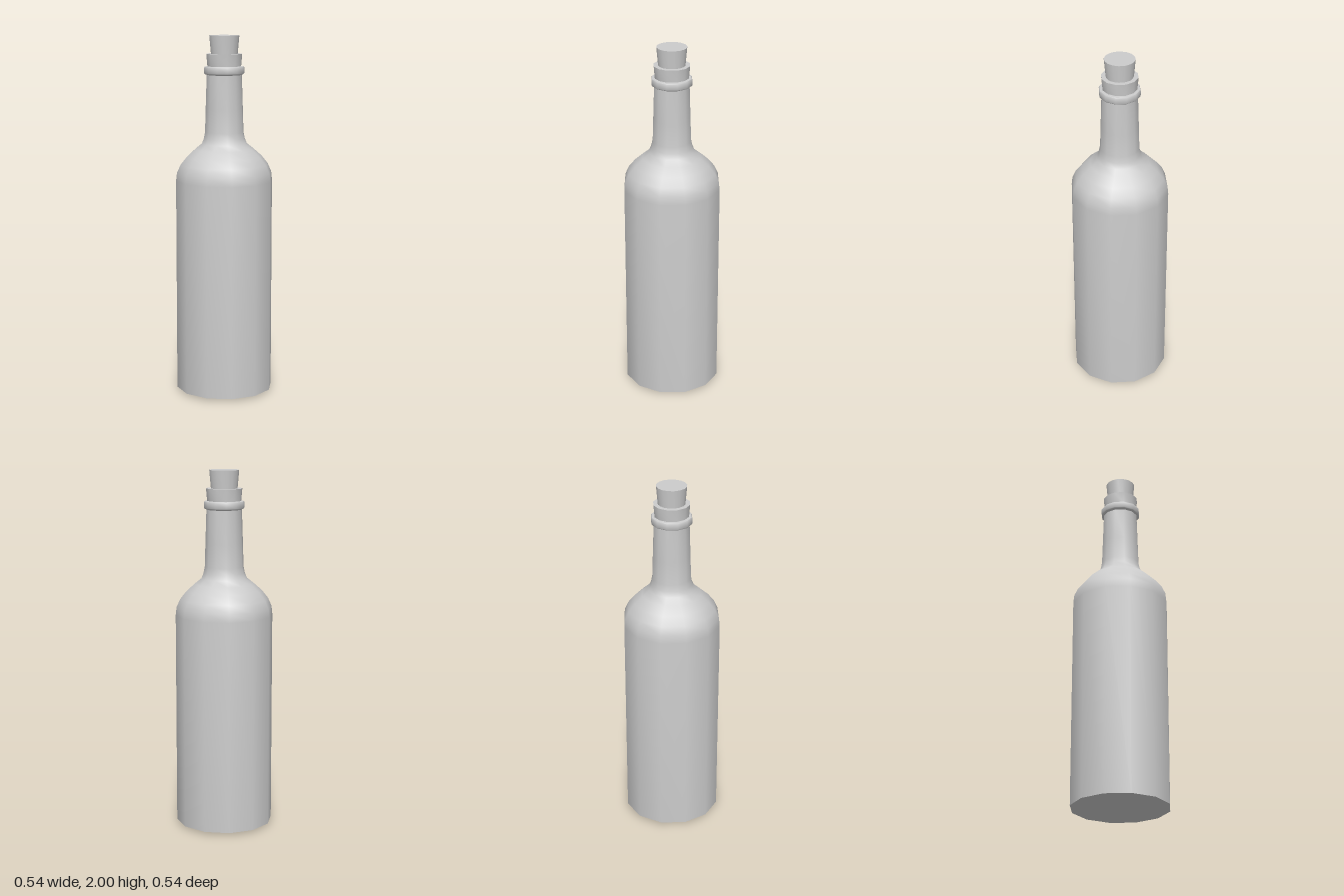
import * as THREE from 'three';
import { toCreasedNormals } from 'three/addons/utils/BufferGeometryUtils.js';

const material = new THREE.MeshStandardMaterial({ color: 0xcccccc });

// Turned part from [radius, height] pairs, listed bottom to top
function turned(name, profile, sides) {
  const points = profile.map(([r, y]) => new THREE.Vector2(r, y));
  const geometry = toCreasedNormals(new THREE.LatheGeometry(points, sides), 0.8);
  const mesh = new THREE.Mesh(geometry, material);
  mesh.name = name;
  return mesh;
}

export function createModel() {
  const group = new THREE.Group();
  group.name = 'corkedBottle';

  // Glass: slightly bulged base, straight body, round shoulder, long neck, collar and lip
  group.add(turned('bottle', [
    [0, 0], [0.13, 0.003], [0.271, 0.012],
    [0.271, 1.2], [0.266, 1.245], [0.246, 1.29], [0.21, 1.335], [0.165, 1.375],
    [0.127, 1.405], [0.115, 1.435], [0.108, 1.47],
    [0.104, 1.6], [0.098, 1.785],
    [0.109, 1.79], [0.112, 1.795], [0.112, 1.825], [0.109, 1.83], [0.094, 1.832],
    [0.1, 1.9], [0.074, 1.9], [0.066, 1.8],
  ], 12));

  // Tapered cork, seated in the neck
  group.add(turned('cork', [[0, 1.8], [0.065, 1.8], [0.083, 2], [0, 2]], 16));

  return group;
}
